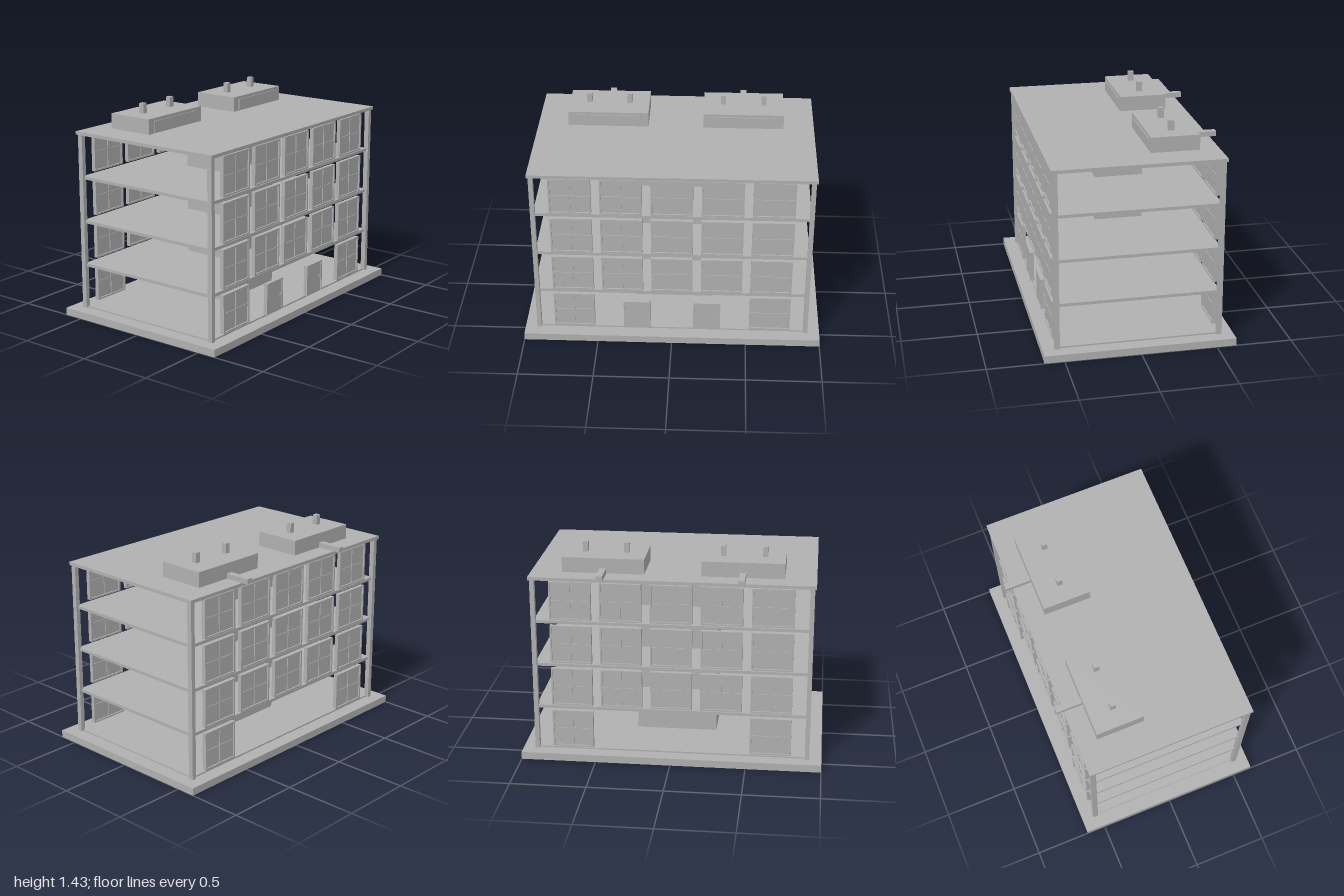
import * as THREE from 'three';

const concrete = new THREE.MeshStandardMaterial({ color: 0xb0b0b0 });
concrete.name = 'concrete grey';

// Box given by its min and max on each axis
function box(parent, name, x0, x1, y0, y1, z0, z1) {
  const mesh = new THREE.Mesh(new THREE.BoxGeometry(x1 - x0, y1 - y0, z1 - z0), concrete);
  mesh.position.set((x0 + x1) / 2, (y0 + y1) / 2, (z0 + z1) / 2);
  mesh.name = name;
  parent.add(mesh);
  return mesh;
}

// Four-pane window, centred in x, standing on its origin and facing +z
function makeWindow() {
  const g = new THREE.Group();
  g.name = 'window';
  const w = 0.137, h = 0.26, t = 0.011, d = 0.014;
  box(g, 'frameLeft', -w, -w + t, 0, h, -d, d);
  box(g, 'frameRight', w - t, w, 0, h, -d, d);
  box(g, 'frameSill', -w + t, w - t, 0, t, -d, d);
  box(g, 'frameHead', -w + t, w - t, h - t, h, -d, d);
  box(g, 'mullion', -0.004, 0.004, t, h - t, -0.01, 0.01);
  box(g, 'transom', -w + t, w - t, h / 2 - 0.004, h / 2 + 0.004, -0.009, 0.009);
  box(g, 'glass', -w + t, w - t, t, h - t, -0.004, 0.004);
  return g;
}

// Door with a frame and a small handle
function makeDoor() {
  const g = new THREE.Group();
  g.name = 'door';
  const w = 0.091, h = 0.215, t = 0.01, d = 0.014;
  box(g, 'jambLeft', -w, -w + t, 0, h, -d, d);
  box(g, 'jambRight', w - t, w, 0, h, -d, d);
  box(g, 'lintel', -w + t, w - t, h - t, h, -d, d);
  box(g, 'leaf', -w + t, w - t, 0, h - t, -0.008, 0.008);
  for (const s of [-1, 1]) {
    box(g, 'handle', 0.06, 0.068, 0.098, 0.113, s * 0.012 - 0.004, s * 0.012 + 0.004);
  }
  return g;
}

// Rooftop plant room with front panel, two chimneys and a rear duct
function makePlantRoom() {
  const g = new THREE.Group();
  g.name = 'plantRoom';
  box(g, 'plantRoomBody', -0.27, 0.27, 1.262, 1.363, -0.43, -0.11);
  box(g, 'frontPanel', -0.219, 0.219, 1.27, 1.343, -0.11, -0.104);
  for (const x of [-0.137, 0.137]) {
    box(g, 'chimney', x - 0.017, x + 0.017, 1.363, 1.43, -0.29, -0.254);
  }
  box(g, 'rearDuct', -0.021, 0.021, 1.262, 1.296, -0.605, -0.43);
  return g;
}

export function createModel() {
  const model = new THREE.Group();
  model.name = 'officeBuilding';

  // Ground plate, floor slabs and roof
  box(model, 'groundPlate', -1, 1, 0, 0.05, -0.63, 0.63);
  box(model, 'groundFloor', -0.905, 0.905, 0.05, 0.06, -0.534, 0.534);
  for (const y of [0.34, 0.64, 0.94]) {
    box(model, 'floorSlab', -0.905, 0.905, y, y + 0.02, -0.534, 0.534);
  }
  box(model, 'roof', -0.93, 0.93, 1.24, 1.262, -0.56, 0.56);

  // Corner columns
  for (const sx of [-1, 1]) {
    for (const sz of [-1, 1]) {
      box(model, 'cornerColumn', sx * 0.905 - 0.015, sx * 0.905 + 0.015, 0.05, 1.24,
        sz * 0.534 - 0.017, sz * 0.534 + 0.017);
    }
  }

  // Central core
  box(model, 'core', -0.272, 0.272, 0.06, 1.24, -0.16, 0.16);

  // Window rows on front and back; the ground floor keeps only the outer ones
  for (const side of [1, -1]) {
    for (let floor = 0; floor < 4; floor++) {
      for (let i = -2; i <= 2; i++) {
        if (floor === 0 && Math.abs(i) < 2) continue;
        const win = makeWindow();
        win.position.set(i * 0.33, 0.07 + floor * 0.3, side * 0.534);
        if (side < 0) win.rotation.y = Math.PI;
        model.add(win);
      }
    }
  }

  // Entrance doors
  for (const x of [-0.235, 0.235]) {
    const door = makeDoor();
    door.position.set(x, 0.06, 0.534);
    model.add(door);
  }

  // Plant rooms
  for (const x of [-0.455, 0.455]) {
    const room = makePlantRoom();
    room.position.x = x;
    model.add(room);
  }
  return model;
}
